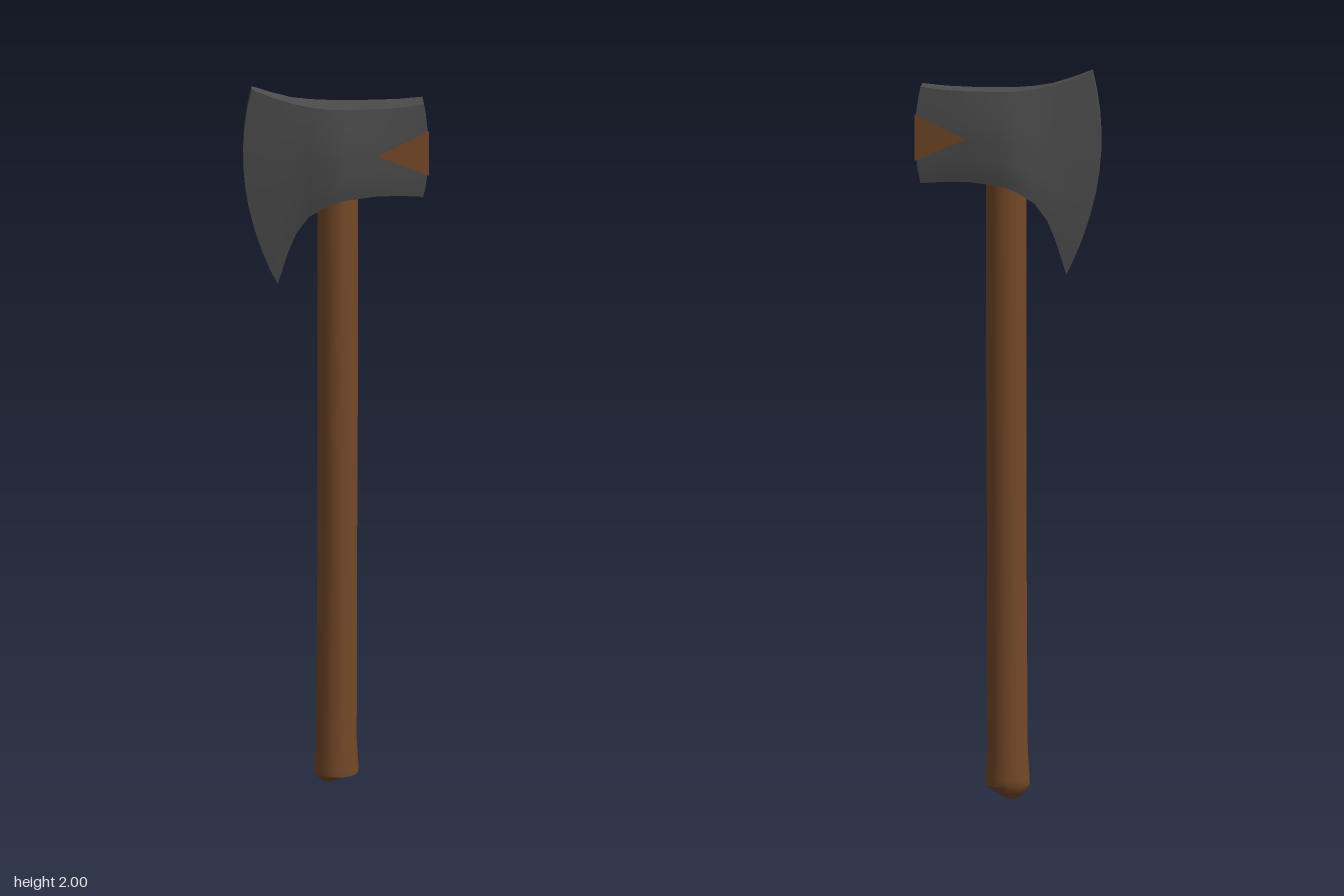
import * as THREE from 'three';
import { toCreasedNormals } from 'three/addons/utils/BufferGeometryUtils.js';

function meshFrom(name, positions, indices, material, crease = 0.6) {
  const g = new THREE.BufferGeometry();
  g.setAttribute('position', new THREE.Float32BufferAttribute(positions, 3));
  g.setIndex(indices);
  const mesh = new THREE.Mesh(toCreasedNormals(g.toNonIndexed(), crease), material);
  mesh.name = name;
  return mesh;
}

// Axe head: upright cross-sections lofted from cutting edge to poll
function buildHead(material) {
  // bottom x, y, top x, y, bow in x, half thickness, top thickness ratio, z offset
  const sections = [
    [-0.16, 1.44, -0.23, 2.0, -0.053, 0.015, 0.95, 0.007],
    [-0.133, 1.53, -0.18, 1.98, -0.032, 0.026, 0.85, 0.005],
    [-0.11, 1.59, -0.12, 1.96, -0.01, 0.036, 0.8, 0.002],
    [-0.075, 1.64, -0.07, 1.951, 0, 0.048, 0.75, 0],
    [-0.025, 1.674, -0.025, 1.946, 0, 0.063, 0.68, 0],
    [0.02, 1.689, 0.02, 1.945, 0, 0.063, 0.68, 0],
    [0.1, 1.697, 0.1, 1.945, 0, 0.053, 0.78, 0],
    [0.17, 1.696, 0.17, 1.948, 0, 0.044, 0.85, 0],
    [0.235, 1.69, 0.235, 1.955, 0.015, 0.036, 0.92, 0],
  ];
  const rows = [0, 0.08, 0.16, 0.28, 0.4, 0.5, 0.6, 0.7, 0.8, 0.9, 1];
  const n = rows.length, ring = 2 * n;
  const pos = [], idx = [];
  const quad = (a, b, c, d) => idx.push(a, b, c, a, c, d);

  for (const [xb, yb, xt, yt, bow, half, topRatio, zc] of sections) {
    const side = (v, s) => {
      const lower = 0.1 * Math.max(0, 1 - v / 0.16);
      const upper = (1 - topRatio) * Math.pow(Math.max(0, v - 0.5) * 2, 1.4);
      pos.push(
        xb + (xt - xb) * v + bow * 4 * v * (1 - v),
        yb + (yt - yb) * v,
        zc + s * half * (1 - lower - upper));
    };
    rows.forEach(v => side(v, 1));
    [...rows].reverse().forEach(v => side(v, -1));
  }
  for (let i = 0; i < sections.length - 1; i++) {
    for (let j = 0; j < ring; j++) {
      const k = (j + 1) % ring, a = i * ring, b = a + ring;
      quad(a + j, b + j, b + k, a + k);
    }
  }
  // Cutting edge and poll faces
  const last = (sections.length - 1) * ring;
  for (let j = 0; j < n - 1; j++) {
    const back = ring - 1 - j;
    quad(last + j, last + back, last + back - 1, last + j + 1);
    quad(back, j, j + 1, back - 1);
  }
  return meshFrom('axeHead', pos, idx, material);
}

// Wooden handle with a flared foot cut at a slant
function buildHandle(material) {
  const profile = [
    [0, 0.014], [0.03, 0.014], [0.048, 0.025], [0.06, 0.037], [0.06, 0.055],
    [0.055, 0.13], [0.054, 0.6], [0.055, 1.2], [0.055, 1.76],
  ].map(p => new THREE.Vector2(...p));
  const g = new THREE.LatheGeometry(profile, 20);
  const p = g.attributes.position;
  for (let i = 0; i < p.count; i++) {
    const x = p.getX(i), y = p.getY(i), z = p.getZ(i);
    if (y < 0.03) p.setY(i, y + 0.3 * (x + z) * (y < 0.02 ? 1 : 0.5));
    p.setX(i, x + 0.004 * Math.min(1, y));
  }
  const mesh = new THREE.Mesh(toCreasedNormals(g.toNonIndexed(), 0.6), material);
  mesh.name = 'handle';
  return mesh;
}

// Pointed inlay wrapping over both cheeks and the poll
function buildInlay(material) {
  const group = new THREE.Group();
  group.name = 'pollInlay';
  const x = 0.251, lift = 0.002;
  const cheek = s => [
    0.11, 1.815, s * (0.0515 + lift),
    x, 1.752, s * (0.036 + lift),
    x, 1.88, s * (0.036 + lift),
  ];
  group.add(meshFrom('frontInlay', cheek(1), [0, 1, 2], material));
  group.add(meshFrom('backInlay', cheek(-1), [0, 2, 1], material));
  const z = 0.036 + lift;
  const poll = [1.752, 1.815, 1.88].flatMap(y => [x, y, z, x, y, -z]);
  group.add(meshFrom('pollFaceInlay', poll, [0, 1, 3, 0, 3, 2, 2, 3, 5, 2, 5, 4], material));
  return group;
}

export function createModel() {
  const steel = new THREE.MeshStandardMaterial({ color: 0x4c4c4c });
  steel.name = 'dark steel';
  const wood = new THREE.MeshStandardMaterial({ color: 0x744828 });
  wood.name = 'brown wood';

  const axe = new THREE.Group();
  axe.name = 'axe';
  axe.add(buildHead(steel), buildHandle(wood), buildInlay(wood));
  return axe;
}
